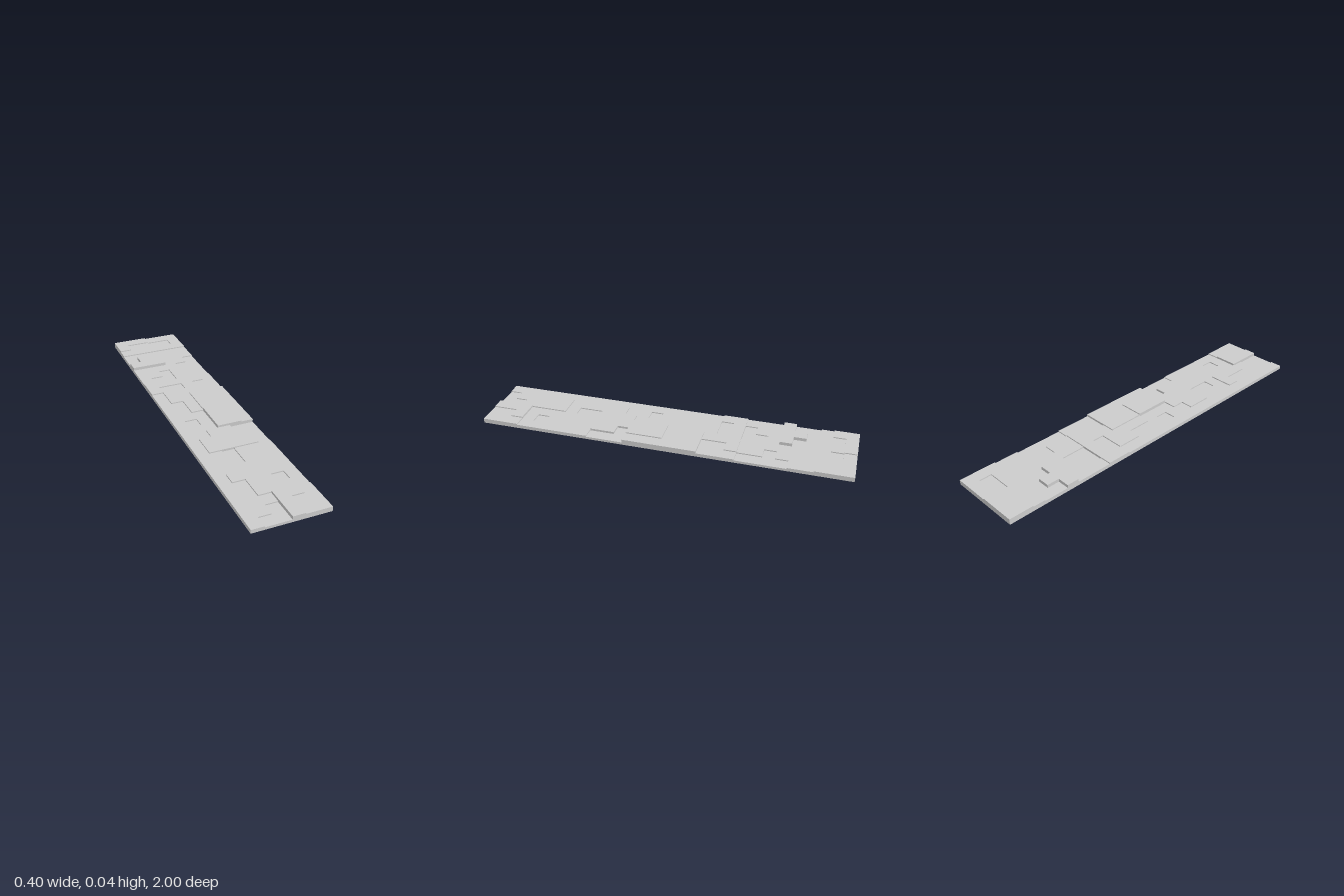
import * as THREE from 'three';

// Height level of every small square: each string is one row, back to front,
// left tile then right tile; every three strings make one row of tiles.
const LEVELS = [
  '333 222', '322 112', '222 222',
  '111 111', '141 111', '444 110',
  '111 100', '110 110', '100 110',
  '222 221', '211 211', '122 211',
  '122 333', '112 333', '112 333',
  '111 443', '101 443', '111 443',
  '112 200', '122 220', '122 220',
  '110 111', '110 111', '111 111',
  '122 111', '112 101', '112 111',
  '111 332', '110 322', '100 322',
].map((row) => row.replace(' ', ''));

const CELL = 0.2 / 3;
const COLS = 6;
const ROWS = 30;
const SIDES = [[1, 0], [-1, 0], [0, 1], [0, -1]];

// Top height of a square; zero outside the floor
function heightAt(c, r) {
  if (c < 0 || r < 0 || c >= COLS || r >= ROWS) return 0;
  return 0.0135 + 0.0057 * Number(LEVELS[r][c]);
}

function quad(out, a, b, c, d) {
  out.push(...a, ...b, ...c, ...a, ...c, ...d);
}

function meshFrom(positions, material, name) {
  const geometry = new THREE.BufferGeometry();
  geometry.setAttribute('position', new THREE.Float32BufferAttribute(positions, 3));
  geometry.computeVertexNormals();
  const mesh = new THREE.Mesh(geometry, material);
  mesh.name = name;
  return mesh;
}

// One square tile: nine flat tops, with walls down to any lower neighbour
function makeTile(col, row, material) {
  const out = [];
  const h = CELL / 2;
  for (let r = row * 3; r < row * 3 + 3; r++) {
    for (let c = col * 3; c < col * 3 + 3; c++) {
      const x = (c + 0.5 - COLS / 2) * CELL;
      const z = (r + 0.5 - ROWS / 2) * CELL;
      const y = heightAt(c, r);
      quad(out, [x - h, y, z - h], [x - h, y, z + h], [x + h, y, z + h], [x + h, y, z - h]);
      for (const [dx, dz] of SIDES) {
        const low = heightAt(c + dx, r + dz);
        if (low >= y) continue;
        const ax = x + (dx - dz) * h, az = z + (dz + dx) * h;
        const bx = x + (dx + dz) * h, bz = z + (dz - dx) * h;
        quad(out, [ax, low, az], [bx, low, bz], [bx, y, bz], [ax, y, az]);
      }
    }
  }
  return meshFrom(out, material, 'steppedTile');
}

export function createModel() {
  const group = new THREE.Group();
  group.name = 'tiledFloorStrip';
  const material = new THREE.MeshStandardMaterial({ color: 0xcccccc, flatShading: true });

  // Two columns of ten stepped tiles
  for (let row = 0; row < ROWS / 3; row++) {
    for (let col = 0; col < COLS / 3; col++) group.add(makeTile(col, row, material));
  }

  // Flat underside
  const under = [];
  quad(under, [-0.2, 0, -1], [0.2, 0, -1], [0.2, 0, 1], [-0.2, 0, 1]);
  group.add(meshFrom(under, material, 'underside'));
  return group;
}
